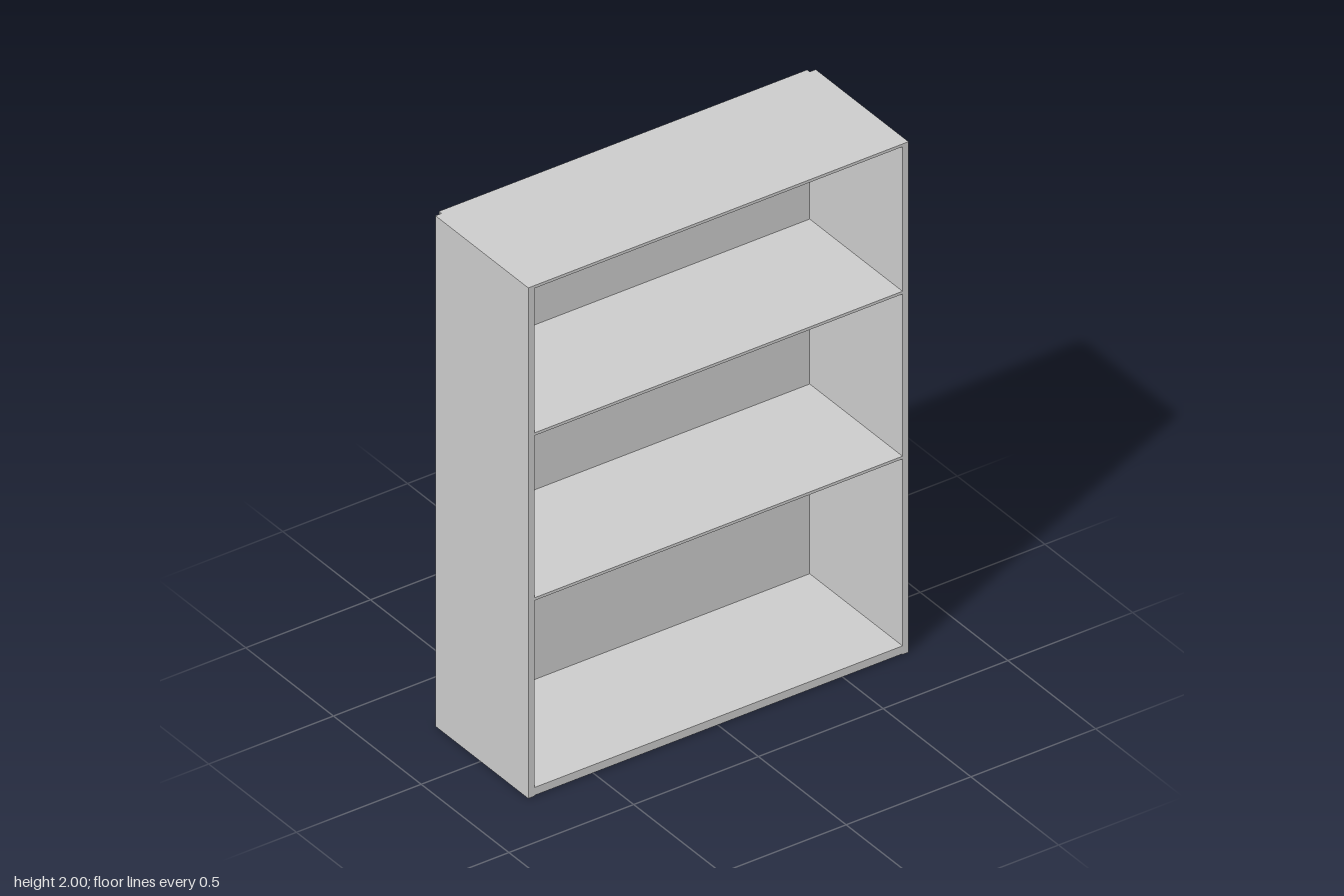
import * as THREE from 'three';

export function createModel() {
  const model = new THREE.Group();
  const material = new THREE.MeshStandardMaterial({ color: 0xcccccc, flatShading: true });

  const front = 0.272, sideBack = -0.257, back = -0.272;
  const outer = 0.762, inner = 0.738;

  // Box given by its limits on each axis
  function board(name, x0, x1, y0, y1, z0, z1) {
    const mesh = new THREE.Mesh(new THREE.BoxGeometry(x1 - x0, y1 - y0, z1 - z0), material);
    mesh.position.set((x0 + x1) / 2, (y0 + y1) / 2, (z0 + z1) / 2);
    mesh.name = name;
    model.add(mesh);
  }

  // Upright sides
  board('leftSide', inner, outer, 0, 2, sideBack, front);
  board('rightSide', -outer, -inner, 0, 2, sideBack, front);

  // Back panel, set between the sides and standing proud behind them
  board('backPanel', -inner, inner, 0, 2, back, sideBack);

  // Horizontal boards: thick base, two shelves and a thin top
  const levels = [
    ['base', 0.003, 0.034],
    ['lowerShelf', 0.766, 0.777],
    ['upperShelf', 1.412, 1.423],
    ['top', 1.989, 2],
  ];
  for (const [name, y0, y1] of levels) board(name, -inner, inner, y0, y1, sideBack, front);

  return model;
}
